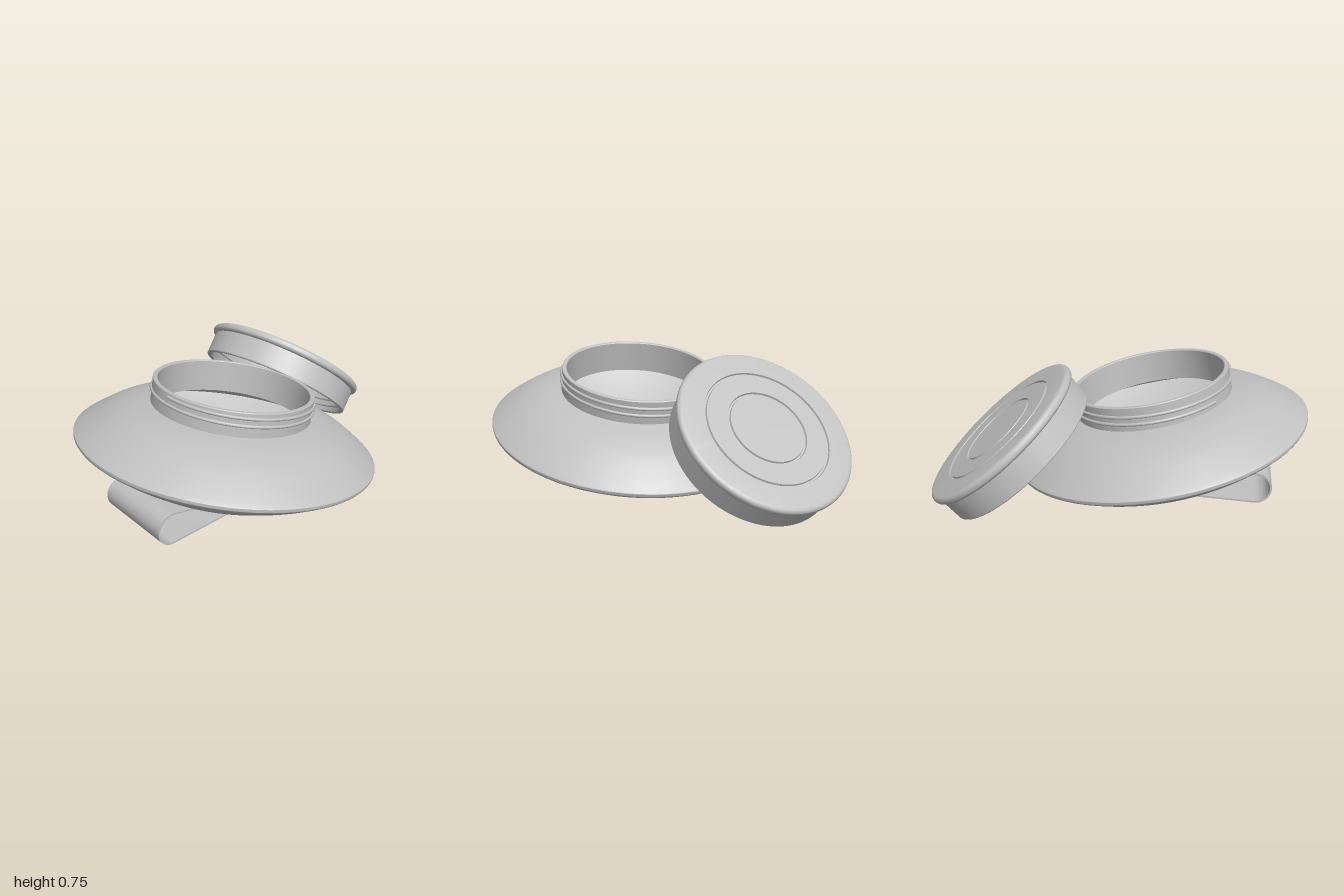
import * as THREE from 'three';
import { toCreasedNormals } from 'three/addons/utils/BufferGeometryUtils.js';

const grey = new THREE.MeshStandardMaterial({ color: 0xc0c0c0 });
grey.name = 'grey';

const vec = (pts) => pts.map(([x, y]) => new THREE.Vector2(x, y));

function add(parent, name, geometry) {
  const mesh = new THREE.Mesh(geometry, grey);
  mesh.name = name;
  parent.add(mesh);
  return mesh;
}

// Turned part; profile runs from the lower centre outwards, up and back in
const turned = (points, segments = 128) =>
  toCreasedNormals(new THREE.LatheGeometry(points, segments), 0.5);

// Screw thread winding down from a starting height
function thread(radius, top, pitch, turns, thickness) {
  const pts = [];
  const n = Math.round(turns * 40);
  for (let i = 0; i <= n; i++) {
    const t = (i / n) * turns;
    const a = Math.PI - t * Math.PI * 2;
    pts.push(new THREE.Vector3(radius * Math.cos(a), top - pitch * t, radius * Math.sin(a)));
  }
  return new THREE.TubeGeometry(new THREE.CatmullRomCurve3(pts), n * 2, thickness, 8);
}

function buildJar() {
  const jar = new THREE.Group();
  jar.name = 'jar';

  // Hollow saucer-shaped bowl
  const outer = new THREE.SplineCurve(vec([
    [0.41, -0.214], [0.445, -0.209], [0.49, -0.192], [0.588, -0.145], [0.72, -0.073],
    [0.79, -0.03], [0.814, -0.013], [0.82, 0.003], [0.81, 0.018],
    [0.733, 0.076], [0.643, 0.133], [0.54, 0.176], [0.42, 0.203],
  ])).getPoints(72);
  const inner = vec([
    [0.42, 0.18], [0.53, 0.155], [0.63, 0.113], [0.72, 0.057], [0.785, 0.008],
    [0.71, -0.05], [0.58, -0.125], [0.48, -0.172], [0.42, -0.19], [0, -0.19],
  ]);
  add(jar, 'bowl', turned([new THREE.Vector2(0, -0.214), ...outer, ...inner]));

  // Neck with its outside thread
  add(jar, 'neck', turned(vec([
    [0.41, 0.15], [0.435, 0.15], [0.435, 0.326], [0.431, 0.33],
    [0.414, 0.33], [0.41, 0.326], [0.41, 0.15],
  ])));
  add(jar, 'neckThread', thread(0.437, 0.307, 0.04, 1.9, 0.009));

  jar.position.set(-0.195, 0.3, 0.03);
  jar.rotation.z = -0.195;
  return jar;
}

function buildLid() {
  const lid = new THREE.Group();
  lid.name = 'lid';

  const profile = [
    [0, -0.015], [0.44, -0.015], [0.44, -0.155], [0.445, -0.16],
    [0.462, -0.16], [0.466, -0.155], [0.466, -0.025],
  ];
  // Rounded rim bead
  for (let i = 0; i <= 10; i++) {
    const a = -Math.PI / 2 + (i / 10) * Math.PI;
    profile.push([0.465 + 0.025 * Math.cos(a), 0.025 * Math.sin(a)]);
  }
  // Two shallow ring grooves in the top face
  for (const r of [0.352, 0.222]) {
    profile.push([r, 0.025], [r - 0.003, 0.015], [r - 0.013, 0.015], [r - 0.016, 0.025]);
  }
  profile.push([0, 0.025]);
  add(lid, 'lidShell', turned(vec(profile)));
  add(lid, 'lidThread', thread(0.439, -0.06, 0.04, 1.7, 0.009));

  lid.position.set(0.613, 0.423, -0.363);
  lid.quaternion.setFromUnitVectors(
    new THREE.Vector3(0, 1, 0), new THREE.Vector3(0.637, 0.762, -0.115).normalize());
  return lid;
}

// Bent strip under the bowl
function buildClip() {
  const path = [[0.02, 0.027]];
  for (let i = 0; i <= 32; i++) {
    const a = THREE.MathUtils.degToRad(79 + (i / 32) * 194);
    path.push([-0.735 + 0.085 * Math.cos(a), 0.093 + 0.085 * Math.sin(a)]);
  }
  path.push([-0.12, 0.038]);
  const half = 0.005;
  const offset = (side) => path.map(([x, y], i) => {
    const p = path[Math.max(i - 1, 0)];
    const q = path[Math.min(i + 1, path.length - 1)];
    // End directions of the bend follow the straight legs
    const dx = q[0] - p[0], dy = q[1] - p[1], l = Math.hypot(dx, dy);
    return [x - (side * half * dy) / l, y + (side * half * dx) / l];
  });
  const shape = new THREE.Shape(vec([...offset(1), ...offset(-1).reverse()]));
  const geometry = new THREE.ExtrudeGeometry(shape, { depth: 0.47, bevelEnabled: false });
  geometry.translate(0, 0, -0.205);
  return toCreasedNormals(geometry, 0.5);
}

export function createModel() {
  const model = new THREE.Group();
  model.name = 'openJar';
  model.add(buildJar(), buildLid());
  add(model, 'clip', buildClip());
  return model;
}
